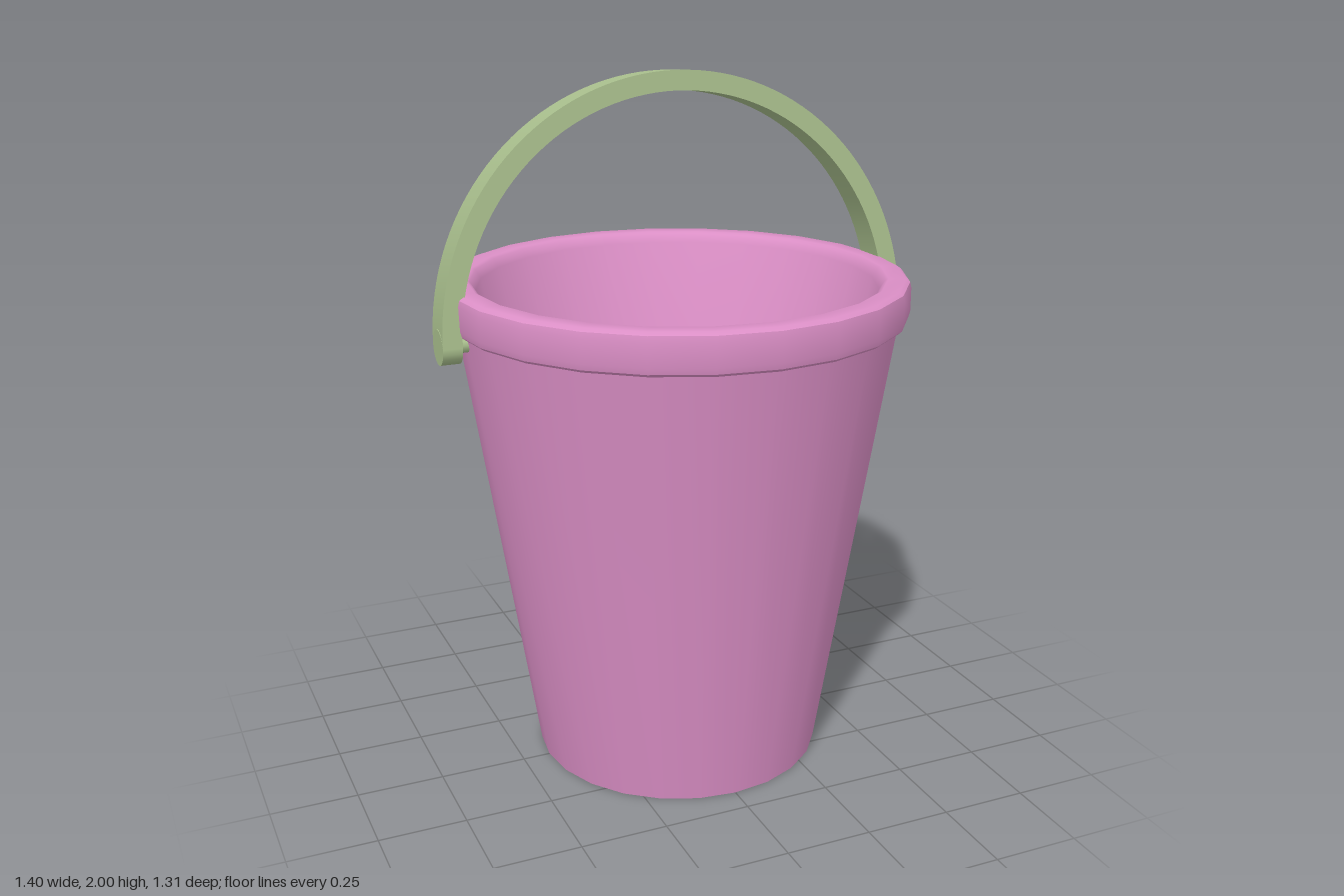
import * as THREE from 'three';
import { toCreasedNormals } from 'three/addons/utils/BufferGeometryUtils.js';

const PIVOT_Y = 1.3; // height of the handle hinges
const BAND = 0.1; // handle width
const OUTER = 0.7, INNER = 0.645; // handle radii

export function createModel() {
  const model = new THREE.Group();
  model.name = 'bucket';
  const pink = new THREE.MeshStandardMaterial({ color: 0xdb8fc6 });
  const green = new THREE.MeshStandardMaterial({ color: 0xa9bf8d });

  function add(parent, name, geometry, material) {
    const mesh = new THREE.Mesh(geometry, material);
    mesh.name = name;
    parent.add(mesh);
    return mesh;
  }

  // Body: recessed underside, tapered wall, thick rim, inner wall and floor
  const profile = [
    [0, 0.05], [0.37, 0.05], [0.37, 0], [0.42, 0],
    [0.627, 1.325], [0.643, 1.325], [0.652, 1.333], [0.656, 1.35],
    [0.656, 1.415], [0.652, 1.432], [0.64, 1.44],
    [0.592, 1.44], [0.583, 1.435], [0.567, 1.41],
    [0.335, 0.08], [0, 0.08],
  ].map(([r, y]) => new THREE.Vector2(r, y));
  add(model, 'pail', toCreasedNormals(new THREE.LatheGeometry(profile, 24), 0.6), pink);

  // Handle: a half ring leaning slightly back about its hinges
  const handle = new THREE.Group();
  handle.name = 'handle';
  handle.position.y = PIVOT_Y;
  handle.rotation.x = -0.086;
  model.add(handle);

  const arch = new THREE.Shape();
  arch.absarc(0, 0, OUTER, 0, Math.PI, false);
  arch.absarc(0, 0, INNER, Math.PI, 0, true);
  const band = new THREE.ExtrudeGeometry(arch, { depth: BAND, bevelEnabled: false, curveSegments: 32 });
  band.translate(0, 0, -BAND / 2);
  add(handle, 'handleArch', toCreasedNormals(band, 0.6), green);

  // Rounded ends and hinge pins on both sides
  for (const [side, name] of [[1, 'left'], [-1, 'right']]) {
    const end = new THREE.CylinderGeometry(BAND / 2, BAND / 2, OUTER - INNER, 20);
    end.rotateZ(Math.PI / 2);
    add(handle, name + 'HandleEnd', end, green).position.x = side * (OUTER + INNER) / 2;

    const pin = new THREE.CylinderGeometry(0.022, 0.022, 0.06, 12);
    pin.rotateZ(Math.PI / 2);
    add(handle, name + 'HingePin', pin, green).position.x = side * 0.63;
  }
  return model;
}
